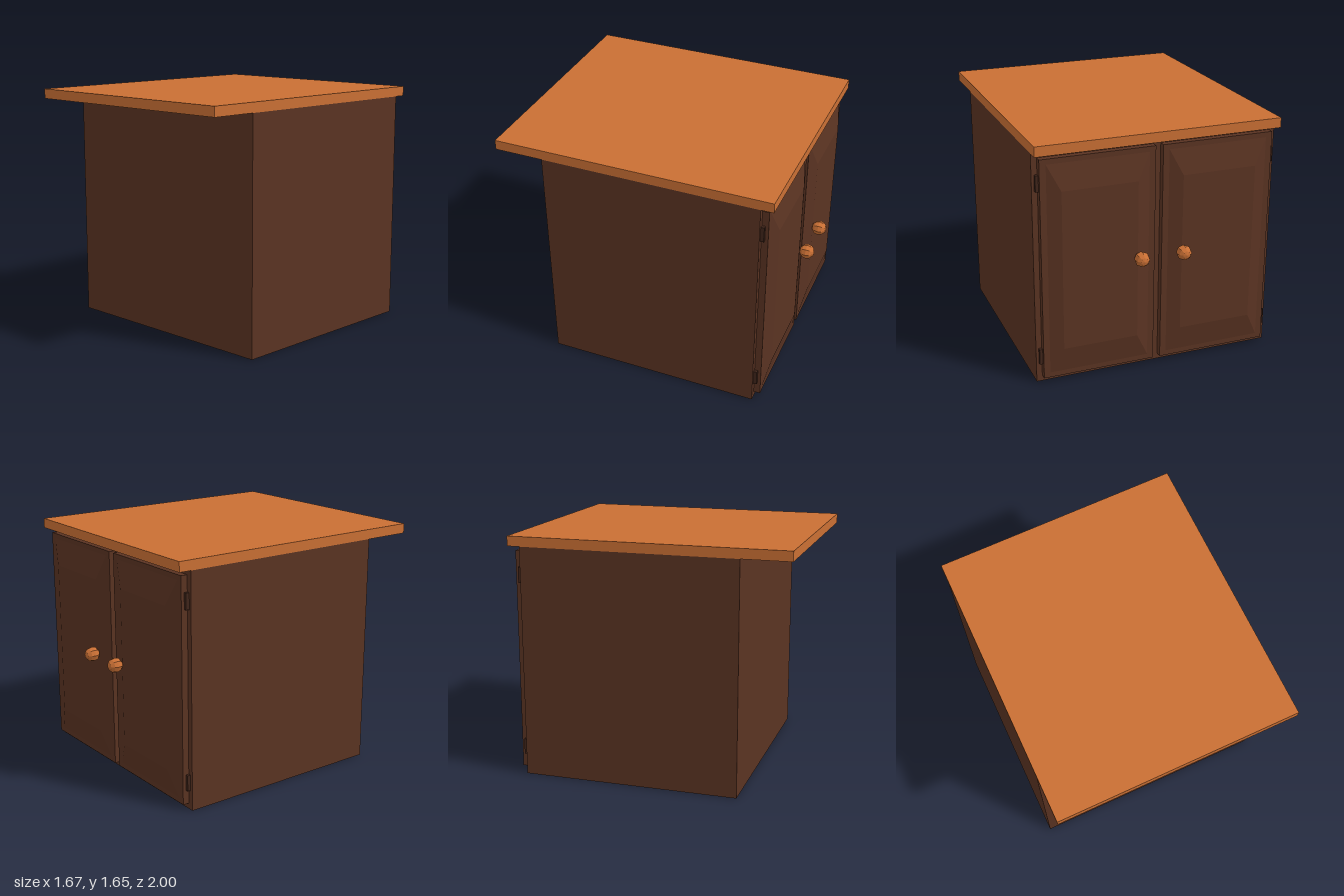
import * as THREE from 'three';

const material = (name, color) => {
  const m = new THREE.MeshStandardMaterial({ color });
  m.name = name;
  return m;
};

// Box given by its minimum and maximum corners
function boxBetween(name, mat, [x0, y0, z0], [x1, y1, z1]) {
  const mesh = new THREE.Mesh(new THREE.BoxGeometry(x1 - x0, y1 - y0, z1 - z0), mat);
  mesh.position.set((x0 + x1) / 2, (y0 + y1) / 2, (z0 + z1) / 2);
  mesh.name = name;
  return mesh;
}

// Box whose -z face is drawn in by the given insets
function bevelledPanel(name, mat, min, max, insetX, insetY) {
  const mesh = boxBetween(name, mat, min, max);
  const p = mesh.geometry.attributes.position;
  for (let i = 0; i < p.count; i++) {
    if (p.getZ(i) < 0) {
      p.setX(i, p.getX(i) - Math.sign(p.getX(i)) * insetX);
      p.setY(i, p.getY(i) - Math.sign(p.getY(i)) * insetY);
    }
  }
  mesh.geometry = mesh.geometry.toNonIndexed();
  mesh.geometry.computeVertexNormals();
  return mesh;
}

export function createModel() {
  const darkWood = material('dark wood', 0x5a3322);
  const lightWood = material('light wood', 0xc96f34);
  const hingeBrown = material('hinge brown', 0x40251a);
  lightWood.flatShading = false;

  const model = new THREE.Group();
  model.name = 'cabinet';

  // Carcass and overhanging worktop
  model.add(boxBetween('body', darkWood, [-0.833, 0, -0.82], [0.833, 1.585, 0.667]));
  model.add(boxBetween('worktop', lightWood, [-0.835, 1.583, -0.905], [0.835, 1.65, 1]));

  // Faceted knob, shared by both doors
  const knobGeometry = new THREE.SphereGeometry(0.051, 8, 6).toNonIndexed();
  knobGeometry.rotateX(Math.PI / 2);
  knobGeometry.computeVertexNormals();

  // Mirrored pair of doors on the rear face
  for (const side of [-1, 1]) {
    const door = new THREE.Group();
    door.name = side > 0 ? 'leftDoor' : 'rightDoor';
    const span = (a, b) => (side > 0 ? [a, b] : [-b, -a]);

    const [d0, d1] = span(0.025, 0.795);
    door.add(boxBetween('doorFrame', darkWood, [d0, 0.04, -0.865], [d1, 1.55, -0.819]));

    const [p0, p1] = span(0.065, 0.755);
    door.add(bevelledPanel('doorPanel', darkWood, [p0, 0.07, -0.898], [p1, 1.52, -0.864], 0.09, 0.18));

    const knob = new THREE.Mesh(knobGeometry, lightWood);
    knob.name = 'knob';
    knob.position.set(side * 0.147, 0.825, -0.949);
    door.add(knob);

    // Hinges on the outer edge
    const [h0, h1] = span(0.79, 0.815);
    for (const y of [0.135, 1.335]) {
      door.add(boxBetween('hinge', hingeBrown, [h0, y, -0.843], [h1, y + 0.108, -0.819]));
    }
    model.add(door);
  }

  return model;
}
